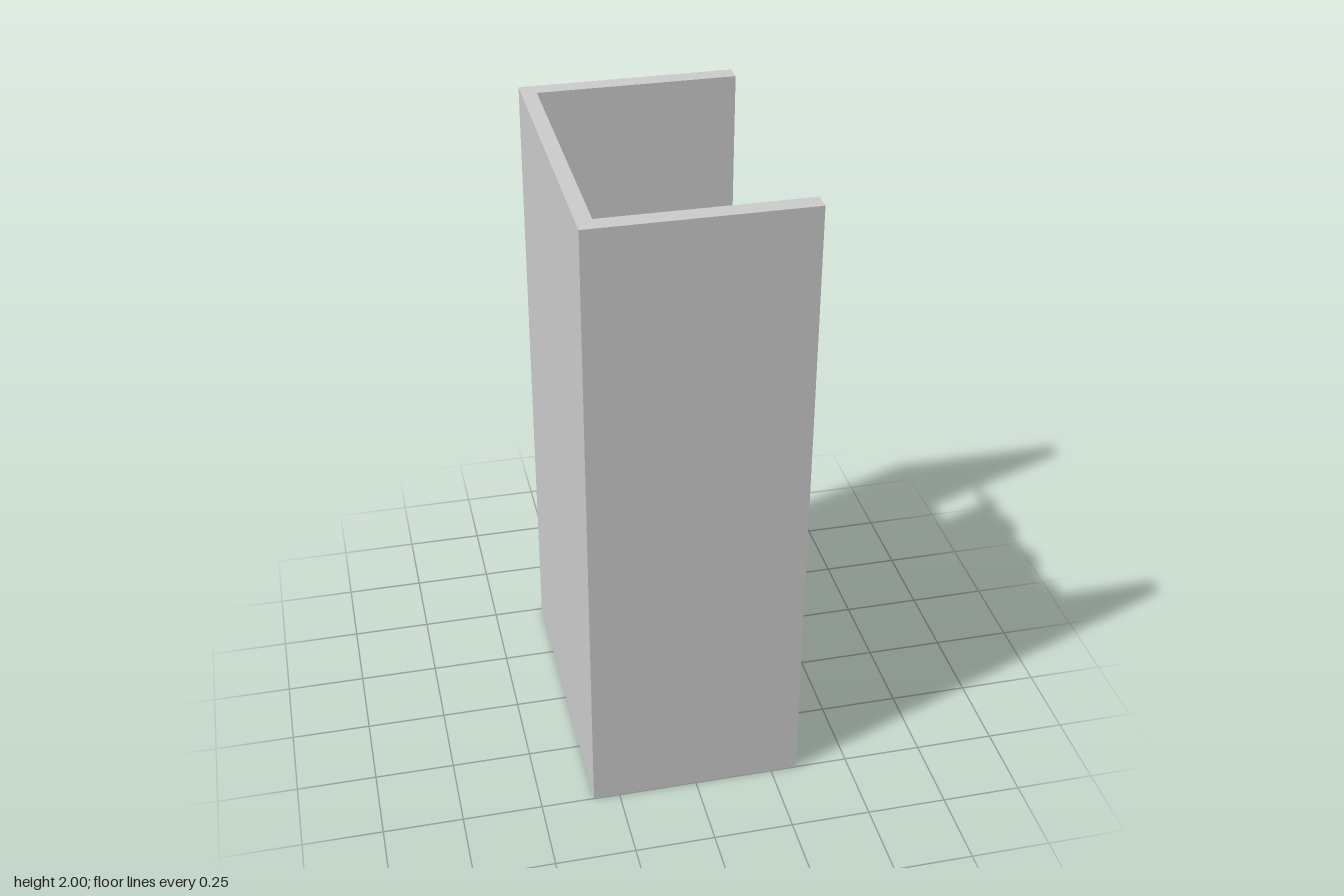
import * as THREE from 'three';

const W = 0.333, D = 0.5, H = 2;           // half width, half depth, height
const INNER_X = -0.286, INNER_Z = 0.443, FLOOR = 0.05;
const ROD_X = 0.273, ROD_Y = 1.55;

function addMesh(group, name, geometry, color) {
  const material = new THREE.MeshStandardMaterial({ color });
  const mesh = new THREE.Mesh(geometry, material);
  mesh.name = name;
  group.add(mesh);
  return mesh;
}

// Three walls as one U-shaped plan, open on the +x side
function wallsGeometry() {
  const plan = new THREE.Shape([
    [-W, -D], [W, -D], [W, -INNER_Z], [INNER_X, -INNER_Z],
    [INNER_X, INNER_Z], [W, INNER_Z], [W, D], [-W, D],
  ].map(([x, y]) => new THREE.Vector2(x, y)));
  return new THREE.ExtrudeGeometry(plan, { depth: H, bevelEnabled: false }).rotateX(-Math.PI / 2);
}

// Thin sheet pleated along z; the folds deepen and sway toward the hem
function curtainGeometry() {
  const top = 1.592, zMin = -0.32, zMax = 0.428, folds = 14;
  const height = top - FLOOR, width = zMax - zMin;
  const geometry = new THREE.BoxGeometry(0.008, height, width, 1, 24, folds);
  geometry.translate(0, (top + FLOOR) / 2, (zMin + zMax) / 2);
  const p = geometry.attributes.position;
  for (let i = 0; i < p.count; i++) {
    const drop = (top - p.getY(i)) / height;
    const step = (zMax - p.getZ(i)) / width * folds;
    const pleat = -Math.SQRT2 * Math.sin(step * Math.PI / 2 + Math.PI / 4);
    const depth = 0.014 + 0.025 * Math.min(1, drop * 1.4);
    const sway = 0.004 * Math.sin(drop * Math.PI * 8) * Math.min(1, drop * 5);
    p.setX(i, p.getX(i) + ROD_X + pleat * depth + sway);
  }
  geometry.computeVertexNormals();
  return geometry;
}

export function createModel() {
  const group = new THREE.Group();
  group.name = 'curtainStall';

  addMesh(group, 'walls', wallsGeometry(), 0xcccccc);

  // Floor slab between the walls
  const floor = addMesh(group, 'floor',
    new THREE.BoxGeometry(W - INNER_X, FLOOR, INNER_Z * 2), 0xcccccc);
  floor.position.set((W + INNER_X) / 2, FLOOR / 2, 0);

  // Rod spanning the opening
  const rod = addMesh(group, 'curtainRod',
    new THREE.CylinderGeometry(0.011, 0.011, INNER_Z * 2, 16), 0x4a2c1a);
  rod.rotation.x = Math.PI / 2;
  rod.position.set(ROD_X, ROD_Y, 0);

  const curtain = addMesh(group, 'curtain', curtainGeometry(), 0x2b7695);
  curtain.material.side = THREE.DoubleSide;

  return group;
}
